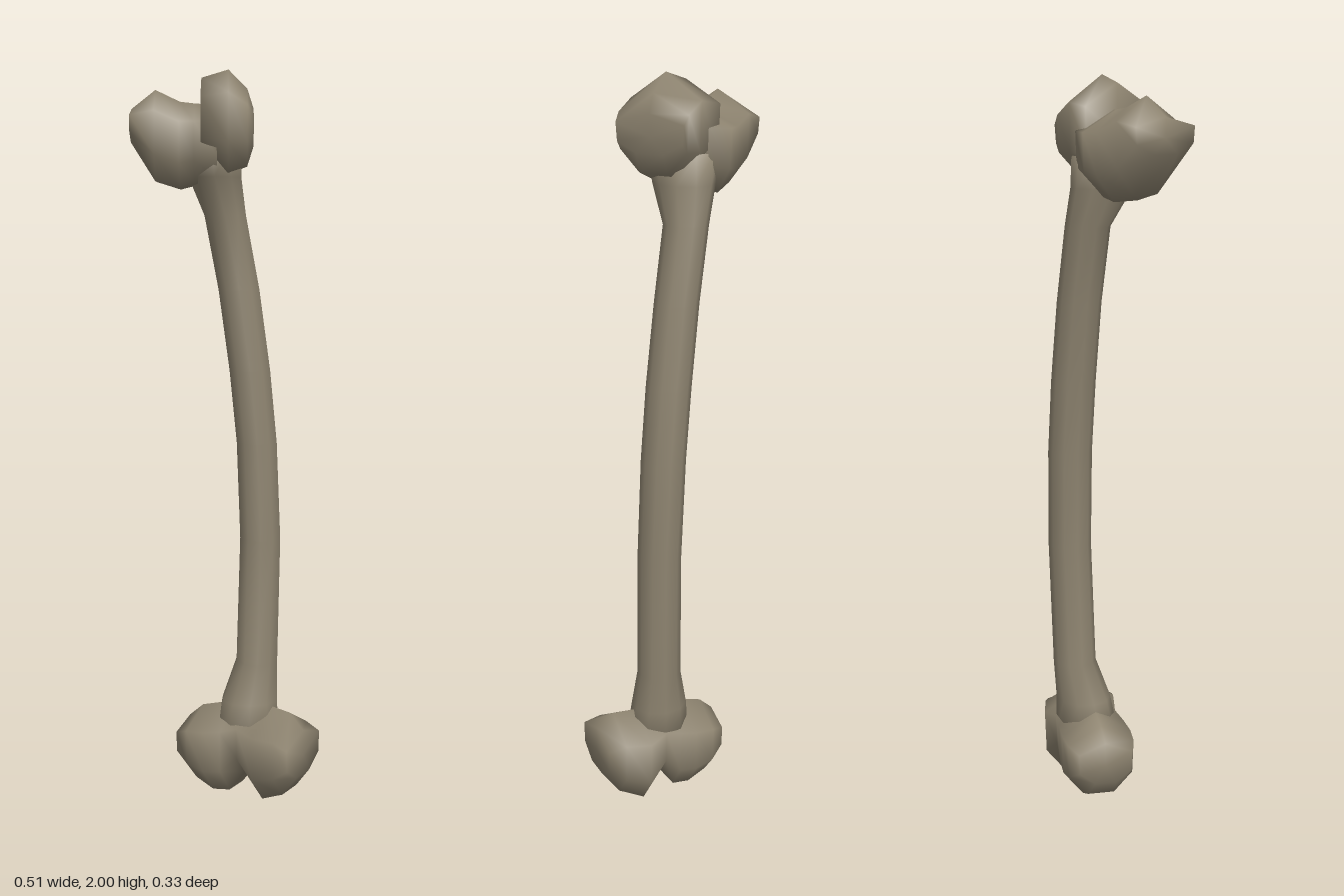
import * as THREE from 'three';

const bone = new THREE.MeshStandardMaterial({ color: 0x8f8571 });
bone.name = 'bone';

// Skin a closed, smooth surface over rings that run counter-clockwise about their direction of travel
function loft(name, rings) {
  const n = rings[0].length;
  const points = rings.flat();
  const index = [];
  for (let r = 0; r < rings.length - 1; r++) {
    for (let i = 0; i < n; i++) {
      const j = (i + 1) % n;
      const a = r * n + i, b = r * n + j;
      index.push(a, b, b + n, a, b + n, a + n);
    }
  }
  const middle = (ring) => ring.reduce((s, p) => s.add(p), new THREE.Vector3()).divideScalar(n);
  const start = points.length, end = start + 1, last = (rings.length - 1) * n;
  points.push(middle(rings[0]), middle(rings[rings.length - 1]));
  for (let i = 0; i < n; i++) {
    const j = (i + 1) % n;
    index.push(start, j, i, end, last + i, last + j);
  }
  const geometry = new THREE.BufferGeometry().setFromPoints(points);
  geometry.setIndex(index);
  geometry.computeVertexNormals();
  const mesh = new THREE.Mesh(geometry, bone);
  mesh.name = name;
  return mesh;
}

// Peaked, faceted section of a knob: side position -1..1, height 0..1
const knobSection = [[0, 1], [1, 0.75], [0.96, 0.28], [0.4, 0], [-0.4, 0], [-0.96, 0.28], [-1, 0.75]];

// Each station: x, bottom, top, back, front
function knob(name, stations) {
  return loft(name, stations.map(([x, y0, y1, z0, z1]) => knobSection.map(([s, t]) =>
    new THREE.Vector3(x, y0 + (y1 - y0) * t, (z0 + z1) / 2 + s * (z1 - z0) / 2))));
}

// Each station: y, low x, high x, back, front
function shaft(name, stations) {
  const sides = 10;
  return loft(name, stations.map(([y, x0, x1, z0, z1]) => Array.from({ length: sides }, (_, i) => {
    const a = (i / sides) * Math.PI * 2;
    return new THREE.Vector3(
      (x0 + x1) / 2 + Math.sin(a) * (x1 - x0) / 2, y,
      (z0 + z1) / 2 + Math.cos(a) * (z1 - z0) / 2);
  })));
}

export function createModel() {
  const model = new THREE.Group();
  model.name = 'bone';

  // Gently bowed shaft, flared at both ends
  model.add(shaft('shaft', [
    [0.16, -0.04, 0.15, -0.11, 0.06],
    [0.27, -0.02, 0.14, -0.11, 0.04],
    [0.38, 0.02, 0.14, -0.11, 0.01],
    [0.73, 0.03, 0.147, -0.118, 0.002],
    [1.0, 0.02, 0.136, -0.125, -0.002],
    [1.2, 0.0, 0.117, -0.128, -0.005],
    [1.42, -0.03, 0.087, -0.13, -0.01],
    [1.62, -0.068, 0.05, -0.132, -0.012],
    [1.72, -0.11, 0.038, -0.132, 0.04],
    [1.8, -0.13, 0.04, -0.132, 0.06],
  ]));

  // Upper head: a wide side knob and a taller one above the shaft
  const upperHead = new THREE.Group();
  upperHead.name = 'upperHead';
  upperHead.add(
    knob('upperSideKnob', [
      [-0.258, 1.81, 1.9, -0.132, 0.066],
      [-0.195, 1.71, 1.95, -0.14, 0.06],
      [-0.13, 1.69, 1.92, -0.148, 0.052],
      [-0.09, 1.7, 1.915, -0.157, 0.07],
      [-0.03, 1.72, 1.91, -0.13, 0.075],
    ]),
    knob('upperMainKnob', [
      [-0.072, 1.75, 1.98, -0.132, 0.08],
      [0.0, 1.73, 2.0, -0.126, 0.097],
      [0.05, 1.75, 1.95, -0.122, 0.099],
      [0.066, 1.8, 1.9, -0.118, 0.097],
    ]));
  model.add(upperHead);

  // Lower head: twin knobs with a notch between, twisted about the shaft
  const lowerHead = knob('lowerHead', [
    [-0.145, 0.08, 0.2, -0.105, 0.045],
    [-0.105, 0.03, 0.235, -0.13, 0.058],
    [-0.05, 0.005, 0.25, -0.138, 0.06],
    [0.0, 0.01, 0.26, -0.138, 0.05],
    [0.045, 0.07, 0.255, -0.14, 0.035],
    [0.1, 0.0, 0.26, -0.163, 0.045],
    [0.17, 0.03, 0.255, -0.15, 0.055],
    [0.217, 0.09, 0.215, -0.136, 0.06],
  ]);
  lowerHead.rotation.y = -Math.PI / 6;
  model.add(lowerHead);

  return model;
}
